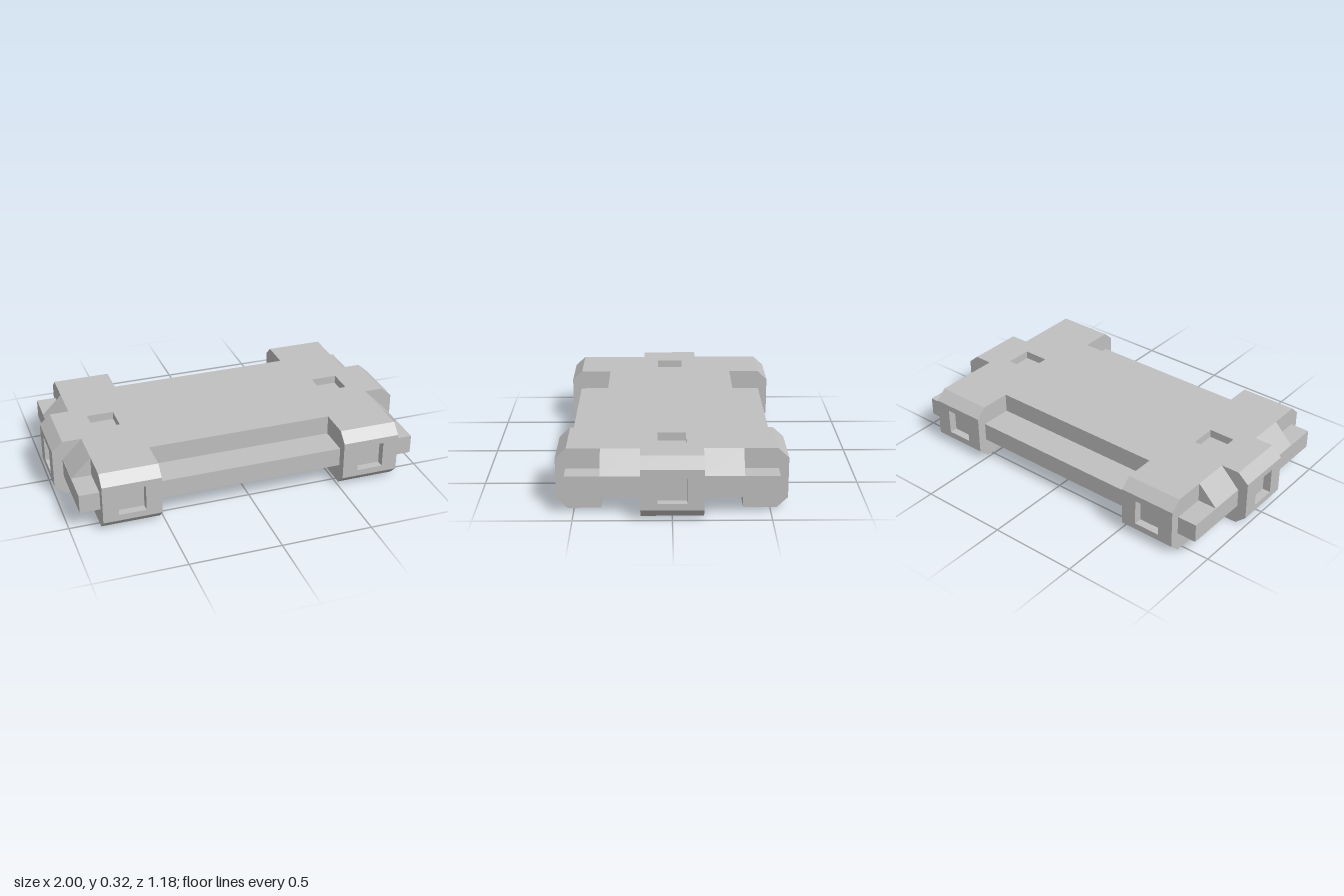
import * as THREE from 'three';
import { mergeGeometries } from 'three/addons/utils/BufferGeometryUtils.js';

const HEIGHT = 0.323, BEVEL_LOW = 0.055, BEVEL_HIGH = 0.27;
const SOCKET = 0.045;            // socket depth
const HOLE = 0.074;              // half width of a socket
const PLATE_LOW = 0.11, PLATE_HIGH = 0.215;
const CLAMP_X = 0.675, CLAMP_HALF = 0.16;

// Symmetric profile from its right half, listed from bottom to top
function mirroredShape(half) {
  const left = half.map(([u, y]) => [-u, y]).reverse();
  return new THREE.Shape([...half, ...left].map(([u, y]) => new THREE.Vector2(u, y)));
}

function slice(half, from, to) {
  const geometry = new THREE.ExtrudeGeometry(mirroredShape(half), { depth: to - from, bevelEnabled: false });
  return geometry.translate(0, 0, from);
}

// Bar of three slices; only the middle slice has the socket notches
function notchedBar(plain, notched, halfWidth) {
  return mergeGeometries([
    slice(plain, -halfWidth, -HOLE),
    slice(notched, -HOLE, HOLE),
    slice(plain, HOLE, halfWidth),
  ]);
}

const endNotch = (u) => [[u, 0.09], [u - SOCKET, 0.09], [u - SOCKET, 0.235], [u, 0.235]];

export function createModel() {
  const group = new THREE.Group();
  const grey = new THREE.MeshStandardMaterial({ color: 0xc0c0c0 });
  grey.name = 'light grey';

  function add(name, geometry, x = 0, y = 0, z = 0) {
    const mesh = new THREE.Mesh(geometry, grey);
    mesh.name = name;
    mesh.position.set(x, y, z);
    group.add(mesh);
    return mesh;
  }

  // Thin plate that sticks out all round as a rail
  const plateHeight = PLATE_HIGH - PLATE_LOW;
  add('railPlate', new THREE.BoxGeometry(1.89, plateHeight, 1.08), 0, (PLATE_LOW + PLATE_HIGH) / 2, 0);

  // Raised deck between the cross clamps
  const deckHeight = HEIGHT - PLATE_HIGH;
  add('deck', new THREE.BoxGeometry(1.04, deckHeight, 0.725), 0, PLATE_HIGH + deckHeight / 2, 0);

  // Lengthwise beam with sockets in both ends and on top
  const beamFoot = [[0.94, 0], [1, BEVEL_LOW]];
  const beamTop = [[1, BEVEL_HIGH], [0.94, HEIGHT]];
  const topNotch = [
    [CLAMP_X + HOLE, HEIGHT], [CLAMP_X + HOLE, HEIGHT - SOCKET],
    [CLAMP_X - HOLE, HEIGHT - SOCKET], [CLAMP_X - HOLE, HEIGHT],
  ];
  add('centreBeam', notchedBar(
    [...beamFoot, ...beamTop],
    [...beamFoot, ...endNotch(1), ...beamTop, ...topNotch],
    0.16,
  ));

  // Cross clamps with a foot and a socket at each end
  const clampFoot = [[0.363, BEVEL_LOW], [0.363, 0], [0.535, 0], [0.592, BEVEL_LOW]];
  const clampTop = [[0.592, BEVEL_HIGH], [0.535, HEIGHT]];
  const clampGeometry = notchedBar(
    [...clampFoot, ...clampTop],
    [...clampFoot, ...endNotch(0.592), ...clampTop, [HOLE, HEIGHT], [HOLE, HEIGHT - SOCKET]],
    CLAMP_HALF,
  ).rotateY(Math.PI / 2);

  // Sloped wedges on the plate ends, beside the beam
  const wedgeShape = new THREE.Shape([
    new THREE.Vector2(0.82, PLATE_HIGH),
    new THREE.Vector2(0.943, PLATE_HIGH),
    new THREE.Vector2(0.835, HEIGHT),
    new THREE.Vector2(0.82, HEIGHT),
  ]);
  const wedgeGeometry = new THREE.ExtrudeGeometry(wedgeShape, { depth: 0.203, bevelEnabled: false })
    .translate(0, 0, 0.16);

  for (const side of [-1, 1]) {
    const sideName = side > 0 ? 'left' : 'right';
    add(`${sideName}Clamp`, clampGeometry, side * CLAMP_X);
    for (const end of [-1, 1]) {
      const wedge = add(`${sideName}${end > 0 ? 'Front' : 'Back'}Wedge`, wedgeGeometry);
      // Half turns and shifts keep the faces outward
      if (side < 0) wedge.rotation.y = Math.PI;
      if (side * end < 0) wedge.position.z = end * (0.16 * 2 + 0.203);
    }
  }
  return group;
}
